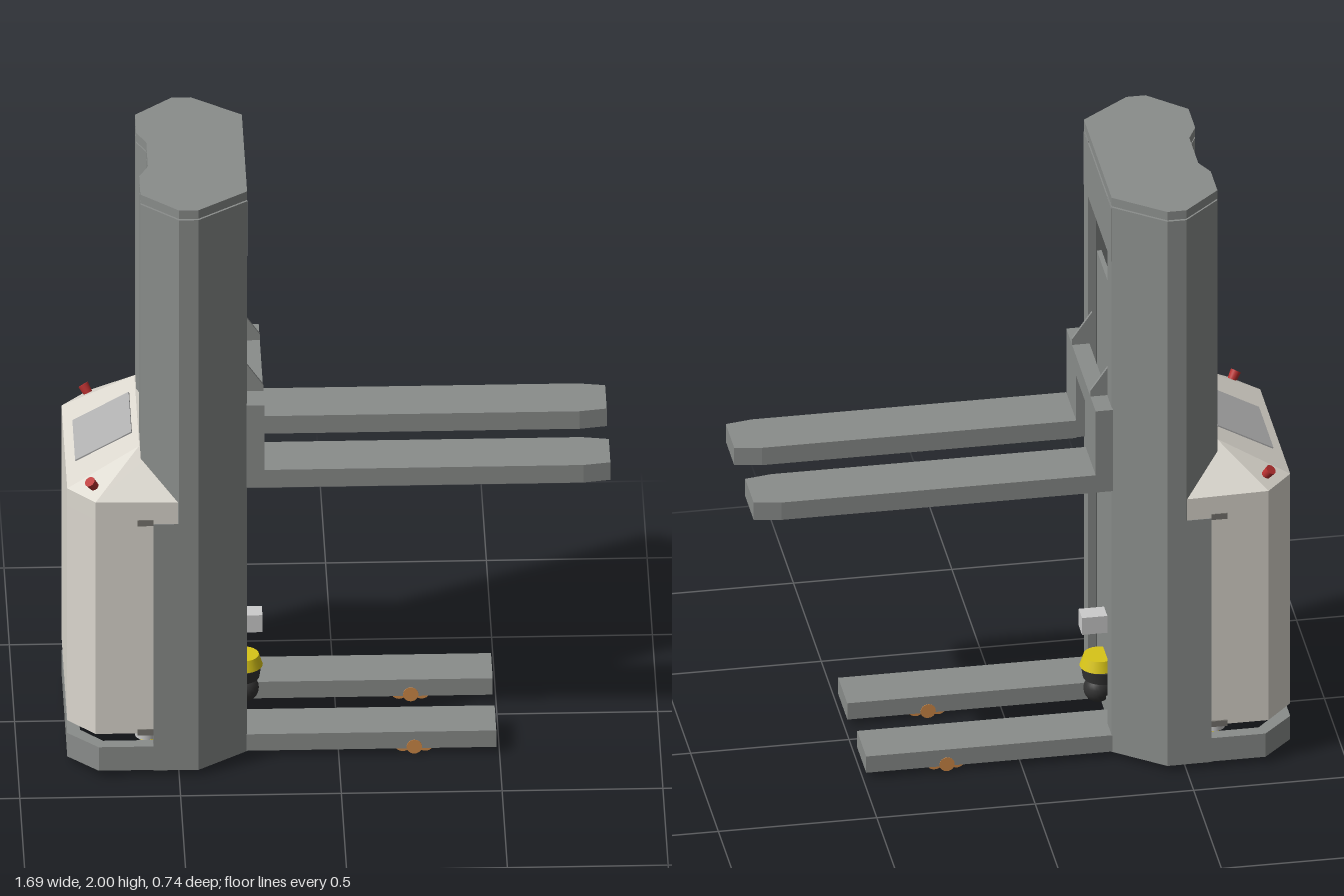
import * as THREE from 'three';
import { ConvexGeometry } from 'three/addons/geometries/ConvexGeometry.js';

const palette = {
  steel: 0x8a8d8b, cream: 0xdcd8cf, screen: 0xb0b0b0, red: 0xb83030,
  yellow: 0xd8c418, black: 0x333333, orange: 0xd08a48, light: 0xcccccc, slot: 0x77756f,
};
const mats = {};
for (const k in palette) {
  mats[k] = new THREE.MeshStandardMaterial({ color: palette[k], side: THREE.DoubleSide, flatShading: k === 'cream' });
}

export function createModel() {
  const root = new THREE.Group();
  const add = (name, geo, mat, x = 0, y = 0, z = 0) => {
    const m = new THREE.Mesh(geo, mats[mat]);
    m.name = name;
    m.position.set(x, y, z);
    root.add(m);
    return m;
  };
  // box given by its limits
  const box = (name, mat, x0, x1, y0, y1, z0, z1) =>
    add(name, new THREE.BoxGeometry(x1 - x0, y1 - y0, z1 - z0), mat, (x0 + x1) / 2, (y0 + y1) / 2, (z0 + z1) / 2);
  // cylinder along 'y' or 'z'
  const cyl = (name, mat, r0, r1, h, x, y, z, axis = 'y') => {
    const g = new THREE.CylinderGeometry(r0, r1, h, 24);
    if (axis === 'z') g.rotateX(Math.PI / 2);
    return add(name, g, mat, x, y, z);
  };
  const toShape = (pts) => new THREE.Shape(pts.map(([x, z]) => new THREE.Vector2(x, z)));
  const flip = (pts) => pts.map(([x, z]) => [x, -z]);
  const mirrored = (half) => [...half, ...flip([...half].reverse())];
  // C-shaped wall plan between an outer and an inner half outline
  const wall = (outer, inner) => [...mirrored(outer), ...flip(inner), ...[...inner].reverse()];
  // vertical prism from a plan outline
  const prism = (name, mat, pts, y0, y1, z = 0, hole = null) => {
    const s = toShape(pts);
    if (hole) s.holes.push(toShape(hole));
    const g = new THREE.ExtrudeGeometry(s, { depth: y1 - y0, bevelEnabled: false });
    g.rotateX(-Math.PI / 2);
    return add(name, g, mat, 0, y0, z);
  };

  // mast shell, cap and front frame
  const mastOuter = [[-0.285, 0.175], [-0.285, 0.25], [-0.44, 0.368], [-0.5, 0.368], [-0.617, 0.26], [-0.617, 0.14], [-0.588, 0.08]];
  const mastInner = [[-0.31, 0.175], [-0.31, 0.235], [-0.445, 0.345], [-0.495, 0.345], [-0.597, 0.25], [-0.597, 0.13], [-0.568, 0.07]];
  prism('mastShell', 'steel', wall(mastOuter, mastInner), 0.02, 1.965);
  prism('mastCap', 'steel', mirrored(mastOuter), 1.97, 2);
  box('mastHeader', 'steel', -0.31, -0.284, 1.77, 1.96, -0.247, 0.247);
  box('mastPanel', 'steel', -0.325, -0.31, 0.1, 1.58, -0.16, 0.16);
  for (const s of [-1, 1]) {
    cyl('liftCylinder', 'light', 0.012, 0.012, 1.7, -0.4, 1.0, s * 0.168);
    cyl('liftRam', 'steel', 0.03, 0.03, 1.8, -0.42, 1.0, s * 0.11);
    box('sideCover', 'steel', -0.58, -0.44, 0.02, 0.89, s * 0.355 - 0.012, s * 0.355 + 0.012);
  }
  box('mastCrossRod', 'light', -0.43, -0.41, 1.64, 1.66, -0.3, 0.3);

  // lifting carriage
  box('carriageTop', 'steel', -0.287, -0.232, 1.18, 1.25, -0.265, 0.265);
  box('carriageBack', 'steel', -0.287, -0.26, 0.96, 1.18, -0.09, 0.09);
  const gusset = new THREE.ExtrudeGeometry(
    toShape([[-0.295, 1.25], [-0.232, 1.25], [-0.232, 1.27], [-0.295, 1.36]]), { depth: 0.01, bevelEnabled: false });
  for (const s of [-1, 1]) {
    box('carriagePlate', 'steel', -0.287, -0.232, 0.96, 1.18, s * 0.177 - 0.088, s * 0.177 + 0.088);
    add('carriageGusset', gusset, 'steel', 0, 0, s * 0.165 - 0.005);
  }

  // forks and support legs: inverted channels
  const forkHalf = [[-0.232, 0.091], [0.76, 0.091], [0.845, 0.076]];
  const forkHole = [[-0.22, 0.078], [0.75, 0.078], [0.83, 0.064]];
  const legHalf = [[-0.3, 0.082], [0.49, 0.082]];
  const legHole = [[-0.28, 0.068], [0.475, 0.068]];
  for (const s of [-1, 1]) {
    const fz = s * 0.175, lz = s * 0.17;
    prism('forkTop', 'steel', mirrored(forkHalf), 1.005, 1.022, fz);
    prism('forkSides', 'steel', mirrored(forkHalf), 0.96, 1.005, fz, mirrored(forkHole));
    prism('legTop', 'steel', mirrored(legHalf), 0.068, 0.08, lz);
    prism('legSides', 'steel', mirrored(legHalf), 0.022, 0.068, lz, mirrored(legHole));
    for (const x of [-0.15, 0.02, 0.13, 0.35]) box('legRib', 'steel', x, x + 0.012, 0.025, 0.07, lz - 0.07, lz + 0.07);
    // load rollers
    for (const x of [0.2, 0.27]) {
      for (const d of [-0.036, 0.036]) cyl('loadRoller', 'orange', 0.027, 0.027, 0.05, x, 0.028, lz + d, 'z');
    }
    cyl('rollerPivot', 'orange', 0.024, 0.024, 0.168, 0.235, 0.028, lz, 'z');
  }

  // base ring and cross members
  const baseOuter = [[-0.5, 0.367], [-0.75, 0.367], [-0.845, 0.27]];
  const baseInner = [[-0.5, 0.325], [-0.735, 0.325], [-0.805, 0.25]];
  prism('baseRing', 'steel', wall(baseOuter, baseInner), 0.022, 0.105);
  box('frontCrossMember', 'steel', -0.36, -0.305, 0.03, 0.1, -0.25, 0.25);
  box('rearCrossMember', 'steel', -0.54, -0.48, 0.05, 0.1, -0.34, 0.34);
  for (const s of [-1, 1]) {
    box('baseBeam', 'steel', -0.54, -0.29, 0.03, 0.1, s * 0.17 - 0.02, s * 0.17 + 0.02);
    cyl('castorWheel', 'yellow', 0.048, 0.048, 0.035, -0.58, 0.049, s * 0.29, 'z');
    cyl('castorHub', 'light', 0.025, 0.025, 0.042, -0.58, 0.049, s * 0.29, 'z');
    cyl('castorMount', 'light', 0.035, 0.035, 0.05, -0.6, 0.13, s * 0.29);
  }
  cyl('driveWheel', 'black', 0.06, 0.06, 0.06, -0.66, 0.061, 0, 'z');
  cyl('driveTurntable', 'light', 0.045, 0.065, 0.06, -0.645, 0.13, 0);
  cyl('rearSensor', 'black', 0.03, 0.045, 0.05, -0.79, 0.125, 0);

  // cream body with sloped hood
  prism('body', 'cream', mirrored([[-0.58, 0.363], [-0.76, 0.363], [-0.845, 0.27]]), 0.15, 0.91);
  const hoodPts = [];
  for (const s of [-1, 1]) {
    for (const [x, y, z] of [
      [-0.845, 0.91, 0.27], [-0.76, 0.91, 0.365], [-0.5, 0.885, 0.365], [-0.58, 0.885, 0.365],
      [-0.845, 0.97, 0.27], [-0.76, 0.97, 0.365], [-0.5, 0.965, 0.365],
      [-0.62, 1.095, 0.23], [-0.57, 1.085, 0.24],
    ]) hoodPts.push(new THREE.Vector3(x, y, s * z));
  }
  add('hood', new ConvexGeometry(hoodPts), 'cream');
  const slope = Math.atan2(0.125, 0.225);
  const screen = add('screen', new THREE.BoxGeometry(0.2, 0.006, 0.26), 'screen', -0.727, 1.037, -0.005);
  screen.rotation.z = slope;
  for (const s of [-1, 1]) {
    const button = cyl('stopButton', 'red', 0.017, 0.014, 0.035, -0.768, 1.004, s * 0.31);
    button.rotation.set(s * 0.45, 0, slope);
    for (const y of [0.885, 0.145]) box('panelSlot', 'slot', -0.63, -0.58, y, y + 0.02, s * 0.364 - 0.004, s * 0.364 + 0.004);
  }

  // floor scanner and camera in the mast opening
  add('scannerDome', new THREE.SphereGeometry(0.045, 24, 12), 'black', -0.285, 0.11, 0);
  cyl('scannerBand', 'black', 0.068, 0.062, 0.04, -0.3, 0.172, 0);
  cyl('scannerHead', 'yellow', 0.05, 0.062, 0.036, -0.29, 0.21, 0);
  box('camera', 'light', -0.312, -0.23, 0.32, 0.38, -0.03, 0.03);
  return root;
}
